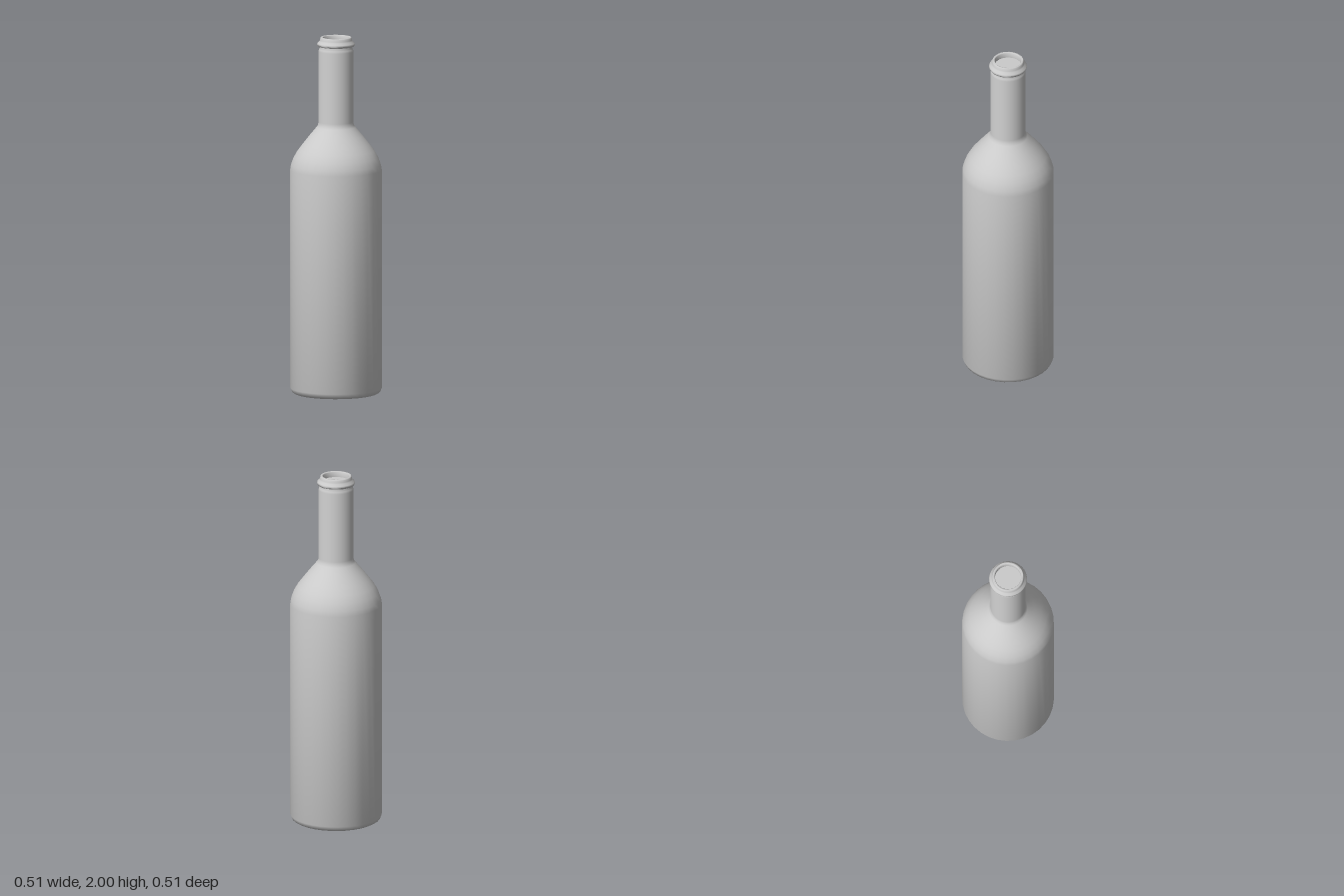
import * as THREE from 'three';
import { toCreasedNormals } from 'three/addons/utils/BufferGeometryUtils.js';

const SIDES = 32;
const material = new THREE.MeshStandardMaterial({ color: 0xcccccc, side: THREE.DoubleSide });

// Turned part from [radius, height] pairs, listed from the outside bottom upward
function turned(name, profile) {
  const points = profile.map(([r, y]) => new THREE.Vector2(r, y));
  const mesh = new THREE.Mesh(toCreasedNormals(new THREE.LatheGeometry(points, SIDES), 0.95), material);
  mesh.name = name;
  return mesh;
}

export function createModel() {
  const bottle = new THREE.Group();
  bottle.name = 'bottle';

  // Base, straight body, rounded shoulder and neck
  bottle.add(turned('body', [
    [0, 0], [0.232, 0], [0.246, 0.008], [0.255, 0.03],
    [0.255, 1.255], [0.25, 1.285], [0.235, 1.325], [0.213, 1.363], [0.185, 1.4],
    [0.148, 1.447], [0.108, 1.495], [0.1, 1.507], [0.097, 1.525],
    [0.097, 1.92], [0.095, 1.932], [0.09, 1.94], [0.09, 1.948],
  ]));

  // Collar and lip, folding into the mouth
  bottle.add(turned('lip', [
    [0.09, 1.948], [0.101, 1.95], [0.106, 1.959], [0.103, 1.967], [0.092, 1.977],
    [0.089, 1.985], [0.087, 1.996], [0.084, 2], [0.076, 2], [0.073, 1.996], [0.073, 1.968],
  ]));

  // Flat closure just inside the mouth
  bottle.add(turned('mouthFloor', [[0.073, 1.968], [0, 1.968]]));

  return bottle;
}
